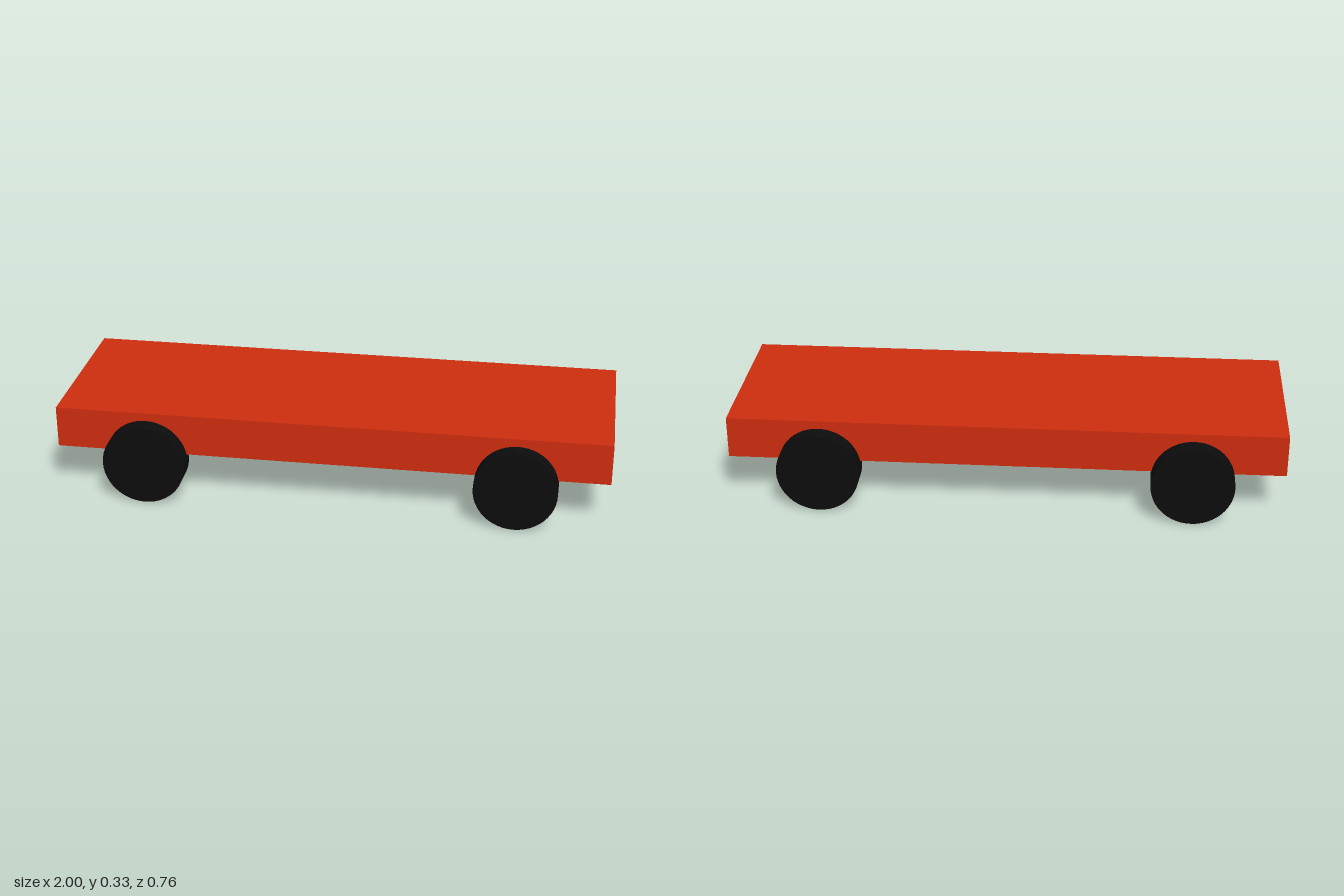
import * as THREE from 'three';

export function createModel() {
  const model = new THREE.Group();
  const red = new THREE.MeshStandardMaterial({ color: 0xcc2c0e });
  const black = new THREE.MeshStandardMaterial({ color: 0x0c0c0c });

  // Flat slab body
  const body = new THREE.Mesh(new THREE.BoxGeometry(2, 0.153, 0.634), red);
  body.name = 'body';
  body.position.y = 0.2505;
  model.add(body);

  // Four wheels, partly sunk into the sides of the body
  const radius = 0.149;
  const wheelGeometry = new THREE.CylinderGeometry(radius, radius, 0.087, 48).rotateX(Math.PI / 2);
  for (const [end, sx] of [['Left', 1], ['Right', -1]]) {
    for (const [side, sz] of [['front', 1], ['back', -1]]) {
      const wheel = new THREE.Mesh(wheelGeometry, black);
      wheel.name = `${side}${end}Wheel`;
      wheel.position.set(sx * 0.669, radius, sz * 0.335);
      model.add(wheel);
    }
  }
  return model;
}
